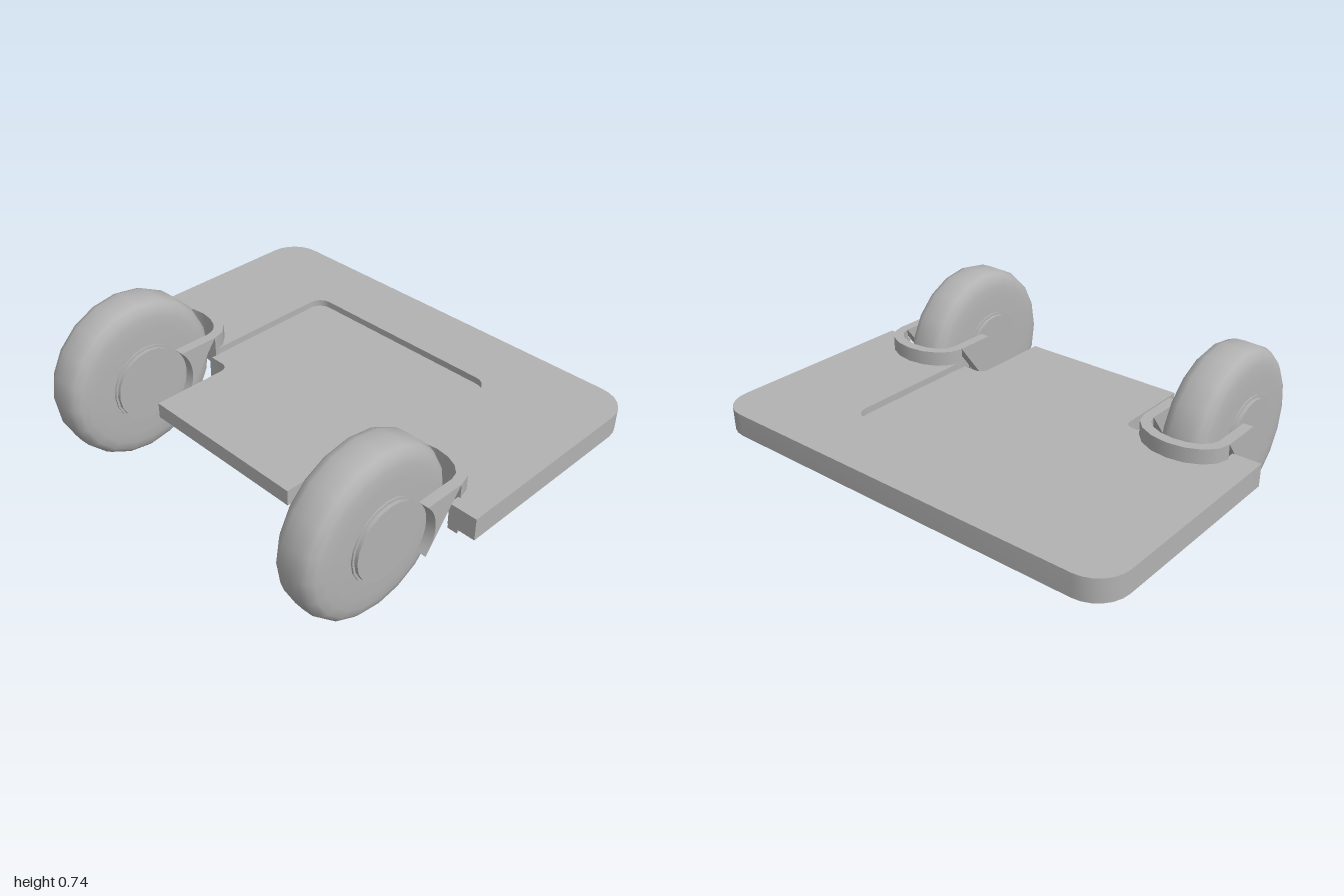
import * as THREE from 'three';
import { toCreasedNormals } from 'three/addons/utils/BufferGeometryUtils.js';

const WHEEL = { x: 0.69, y: 0.372, z: 0.448, r: 0.372 };
const FORK = { outer: 0.195, inner: 0.15, z: 0.14, bottom: 0.255, top: 0.495 };

// Plan shape (x, z) extruded between two heights
function slab(shape, bottom, top, curveSegments) {
  const g = new THREE.ExtrudeGeometry(shape, { depth: top - bottom, bevelEnabled: false, curveSegments });
  g.rotateX(Math.PI / 2).translate(0, top, 0);
  return toCreasedNormals(g, 0.7);
}

// Raised U-shaped frame, its front edge cut away around both forks
function frameShape() {
  const s = new THREE.Shape();
  const { outer, z } = FORK, rx = outer - 0.01, ry = 0.13;
  s.moveTo(-1, 0.19);
  s.lineTo(-1, -0.68);
  s.absarc(-0.86, -0.68, 0.14, Math.PI, Math.PI * 1.5, false);
  s.absarc(0.86, -0.68, 0.14, -Math.PI / 2, 0, false);
  s.lineTo(1, 0.19);
  s.lineTo(WHEEL.x + rx, 0.19);
  s.absellipse(WHEEL.x, z, rx, ry, 0, -Math.PI, true);
  s.lineTo(0.5, z);
  s.lineTo(0.5, -0.45);
  s.absarc(0.44, -0.45, 0.06, 0, -Math.PI / 2, true);
  s.absarc(-0.44, -0.45, 0.06, -Math.PI / 2, -Math.PI, true);
  s.lineTo(-0.5, z);
  s.absellipse(-WHEEL.x, z, rx, ry, 0, -Math.PI, true);
  s.lineTo(-WHEEL.x - rx, 0.19);
  s.closePath();
  return s;
}

// Sunken middle panel, narrowing to a tongue at the front
function panelShape() {
  const s = new THREE.Shape();
  s.moveTo(-0.39, 0.54);
  s.lineTo(-0.39, 0.2);
  s.absarc(-0.43, 0.2, 0.04, 0, -Math.PI / 2, true);
  s.lineTo(-0.5, 0.16);
  s.lineTo(-0.5, -0.45);
  s.absarc(-0.44, -0.45, 0.06, Math.PI, Math.PI * 1.5, false);
  s.absarc(0.44, -0.45, 0.06, -Math.PI / 2, 0, false);
  s.lineTo(0.5, 0.16);
  s.absarc(0.43, 0.2, 0.04, -Math.PI / 2, -Math.PI, true);
  s.lineTo(0.39, 0.54);
  s.closePath();
  return s;
}

// Curved bridge of the fork behind the wheel
function archShape() {
  const { outer, inner, z } = FORK;
  const s = new THREE.Shape();
  s.absellipse(0, z, outer, 0.14, Math.PI, Math.PI * 2, false);
  s.absellipse(0, z, inner, 0.095, 0, -Math.PI, true);
  s.closePath();
  return s;
}

// Fork arm in side outline, its end hollowed to follow the hub
function armGeometry() {
  const r = 0.175, { bottom, top, z } = FORK;
  const a0 = Math.PI + Math.asin((WHEEL.y - bottom) / r);
  const a1 = Math.PI - Math.asin((top - WHEEL.y) / r);
  const s = new THREE.Shape();
  s.moveTo(z, bottom);
  s.absarc(WHEEL.z, WHEEL.y, r, a0, a1, true);
  s.lineTo(z, top);
  s.closePath();
  const depth = FORK.outer - FORK.inner;
  const g = new THREE.ExtrudeGeometry(s, { depth, bevelEnabled: false, curveSegments: 4 });
  g.rotateY(-Math.PI / 2).translate(depth / 2, 0, 0);
  return toCreasedNormals(g, 0.7);
}

// Rounded tyre cross-section turned about the x axis
function tyreGeometry() {
  const half = [[0.165, 0.108], [0.25, 0.106], [0.3, 0.102], [0.335, 0.094], [0.358, 0.075], [0.37, 0.045]];
  const points = [
    ...half.map(([r, w]) => new THREE.Vector2(r, -w)),
    new THREE.Vector2(WHEEL.r, 0),
    ...half.slice().reverse().map(([r, w]) => new THREE.Vector2(r, w)),
  ];
  return new THREE.LatheGeometry(points, 20).rotateZ(Math.PI / 2);
}

export function createModel() {
  const grey = new THREE.MeshStandardMaterial({ color: 0xb2b2b2 });
  grey.name = 'light grey';
  const model = new THREE.Group();
  model.name = 'wheeledPlatform';

  const add = (parent, name, geometry, x = 0, y = 0, z = 0) => {
    const mesh = new THREE.Mesh(geometry, grey);
    mesh.name = name;
    mesh.position.set(x, y, z);
    parent.add(mesh);
    return mesh;
  };

  add(model, 'frame', slab(frameShape(), 0.33, 0.43, 3));
  add(model, 'sunkenPanel', slab(panelShape(), 0.33, 0.4, 3));

  const arch = slab(archShape(), FORK.bottom, FORK.top, 4);
  const arm = armGeometry();
  const tyre = tyreGeometry();
  const hub = new THREE.CylinderGeometry(0.175, 0.175, 0.23, 20).rotateZ(Math.PI / 2);
  const cap = new THREE.CylinderGeometry(0.165, 0.165, 0.26, 20).rotateZ(Math.PI / 2);

  // Fork and wheel on each side
  for (const [side, sign] of [['left', 1], ['right', -1]]) {
    const fork = new THREE.Group();
    fork.name = side + 'Fork';
    fork.position.x = sign * WHEEL.x;
    add(fork, 'forkArch', arch);
    const armX = (FORK.outer + FORK.inner) / 2;
    add(fork, 'outerForkArm', arm, sign * armX);
    add(fork, 'innerForkArm', arm, -sign * armX);
    model.add(fork);

    const wheel = new THREE.Group();
    wheel.name = side + 'Wheel';
    wheel.position.set(sign * WHEEL.x, WHEEL.y, WHEEL.z);
    add(wheel, 'tyre', tyre);
    add(wheel, 'hub', hub);
    add(wheel, 'hubCap', cap);
    model.add(wheel);
  }
  return model;
}
